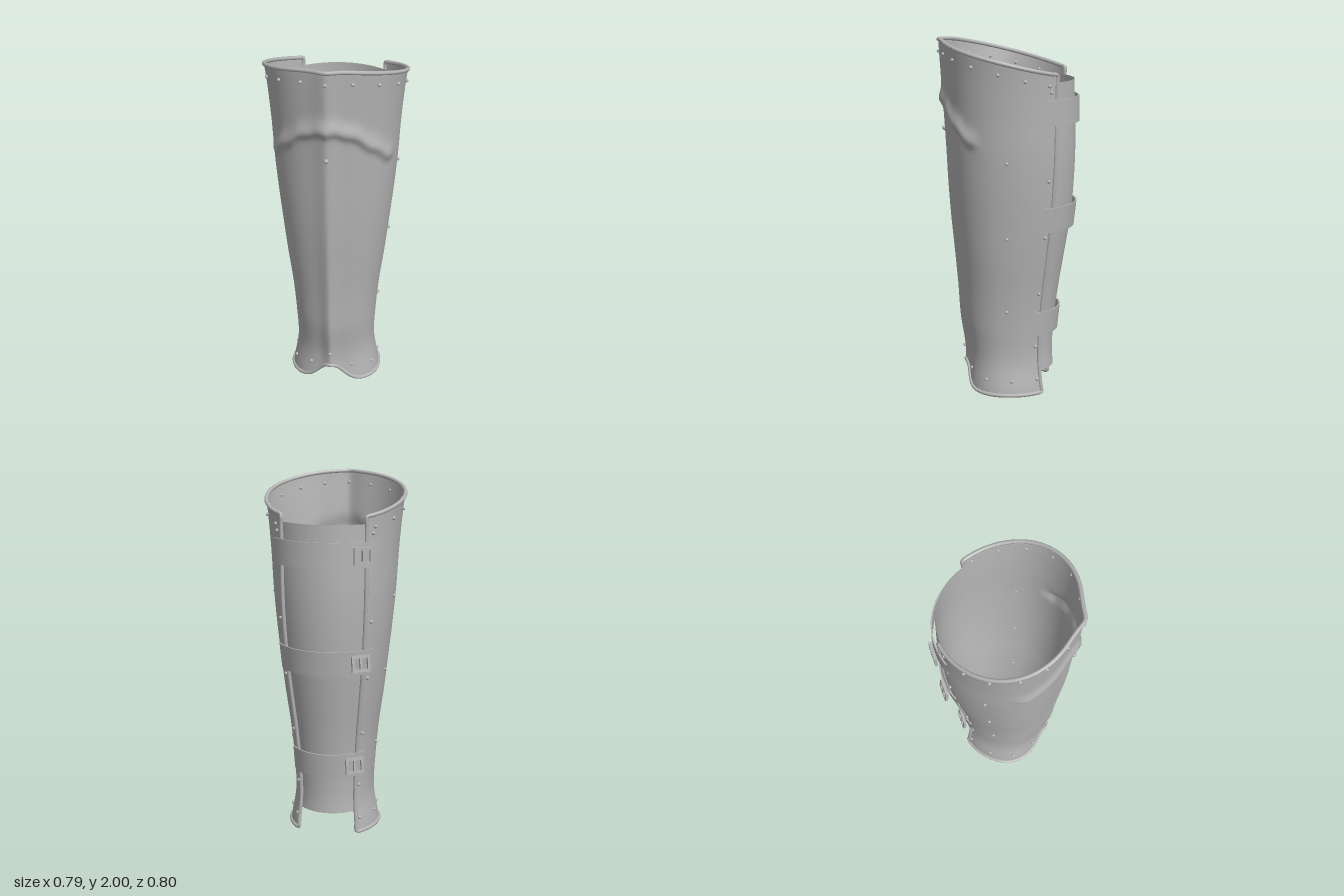
import * as THREE from 'three';
import { toCreasedNormals } from 'three/addons/utils/BufferGeometryUtils.js';

const DEG = Math.PI / 180;
const GAP = 142 * DEG; // shell runs from -GAP to +GAP around the front

// Radius profiles at every 0.2 of height, for the front, sides and back
const profile = (radii) => {
  const curve = new THREE.SplineCurve(radii.map((r, i) => new THREE.Vector2(r, i * 0.2)));
  return (y) => curve.getPoint(THREE.MathUtils.clamp(y / 2, 0, 1)).x;
};
const frontR = profile([0.222, 0.215, 0.243, 0.257, 0.275, 0.294, 0.308, 0.318, 0.33, 0.344, 0.355]);
const sideR = profile([0.256, 0.225, 0.232, 0.25, 0.277, 0.3, 0.322, 0.34, 0.352, 0.37, 0.393]);
const backR = profile([0.288, 0.272, 0.28, 0.305, 0.337, 0.368, 0.385, 0.392, 0.388, 0.382, 0.385]);

// Plain leg shape
function legRadius(t, y) {
  const c = Math.cos(t), s = sideR(y);
  return s + ((c > 0 ? frontR(y) : backR(y)) - s) * c * c;
}

// Leg shape plus shin ridge and the embossed knee fold
function shellRadius(t, y) {
  const a = Math.abs(t);
  const ridge = 0.03 * Math.exp(-Math.pow(a / 0.17, 1.6));
  const foldY = 1.655 - 0.21 * THREE.MathUtils.smoothstep(a, 0.1, 1.35) + 0.006 * Math.sin(a * 17);
  const d = y - foldY;
  const fade = 1 - THREE.MathUtils.smoothstep(a, 1.0, 1.32);
  const fold = 0.022 * fade * Math.exp(-Math.pow(d / (d > 0 ? 0.055 : 0.03), 2));
  return legRadius(t, y) + ridge + fold;
}

const topY = (t) => 1.895 + 0.243 * 0.385 * Math.cos(t);
const bottomY = (t) => 0.012 + 0.125 * Math.exp(-Math.pow(t / 0.47, 2));
const polar = (t, y, r) => new THREE.Vector3(r * Math.sin(t), y, r * Math.cos(t));
const onShell = (t, y, off = 0) => polar(t, y, shellRadius(t, y) + off);

// Grid surface from a point function of u and v in 0..1
function grid(nu, nv, fn) {
  const pos = [], index = [];
  for (let j = 0; j <= nv; j++)
    for (let i = 0; i <= nu; i++) pos.push(...fn(i / nu, j / nv).toArray());
  for (let j = 0; j < nv; j++)
    for (let i = 0; i < nu; i++) {
      const a = j * (nu + 1) + i, b = a + 1, c = a + nu + 1, d = c + 1;
      index.push(a, b, d, a, d, c);
    }
  const g = new THREE.BufferGeometry();
  g.setAttribute('position', new THREE.Float32BufferAttribute(pos, 3));
  g.setIndex(index);
  g.computeVertexNormals();
  return g;
}

export function createModel() {
  const model = new THREE.Group();
  model.name = 'legArmour';
  const steel = new THREE.MeshStandardMaterial({ color: 0xb4b4b4, side: THREE.DoubleSide });
  steel.name = 'steelGrey';
  const add = (name, geometry, parent = model) => {
    const m = new THREE.Mesh(geometry, steel);
    m.name = name;
    parent.add(m);
    return m;
  };
  const lerp = THREE.MathUtils.lerp;

  // Main plate, open at the back
  add('shell', grid(180, 130, (u, v) => {
    const t = lerp(-GAP, GAP, u);
    return onShell(t, lerp(bottomY(t), topY(t), v));
  }));

  // Back panel tucked inside the plate edges
  add('backPanel', grid(48, 40, (u, v) => {
    const t = lerp(126 * DEG, 234 * DEG, u), y = lerp(0.13, 1.78, v);
    return polar(t, y, legRadius(t, y) - 0.012);
  }));

  // Rolled rim round the whole border
  const border = [];
  for (let i = 0; i <= 80; i++) {
    const t = lerp(-GAP, GAP, i / 80);
    border.push(onShell(t, topY(t)));
  }
  for (let i = 1; i < 30; i++) border.push(onShell(GAP, lerp(topY(GAP), bottomY(GAP), i / 30)));
  for (let i = 0; i <= 80; i++) {
    const t = lerp(GAP, -GAP, i / 80);
    border.push(onShell(t, bottomY(t)));
  }
  for (let i = 1; i < 30; i++) border.push(onShell(-GAP, lerp(bottomY(GAP), topY(GAP), i / 30)));
  add('rolledRim', new THREE.TubeGeometry(new THREE.CatmullRomCurve3(border, true), 500, 0.011, 8, true));

  // Three straps across the back, each with a buckle
  const section = [[0.005, -0.07], [0.013, -0.07], [0.013, 0.07], [0.005, 0.07], [0.005, -0.07]];
  const frame = new THREE.Shape();
  frame.moveTo(-0.052, -0.046).lineTo(0.052, -0.046).lineTo(0.052, 0.046).lineTo(-0.052, 0.046).closePath();
  for (const s of [-1, 1]) {
    const x0 = s * 0.006, x1 = s * 0.038;
    const hole = new THREE.Path();
    hole.moveTo(x0, -0.031).lineTo(x1, -0.031).lineTo(x1, 0.031).lineTo(x0, 0.031).closePath();
    frame.holes.push(hole);
  }
  const buckleGeo = new THREE.ExtrudeGeometry(frame, { depth: 0.016, bevelEnabled: false });
  for (const y of [1.62, 1.03, 0.42]) {
    const strap = grid(40, 4, (u, v) => {
      const t = lerp(131 * DEG, 229 * DEG, u);
      const [off, dy] = section[Math.round(v * 4)];
      return polar(t, y + dy, legRadius(t, y + dy) + off);
    });
    add('strap', toCreasedNormals(strap, 0.6));
    const t = -147 * DEG;
    const buckle = add('buckle', buckleGeo);
    buckle.position.copy(polar(t, y, legRadius(t, y) + 0.02));
    const slope = Math.atan2(legRadius(t, y + 0.05) - legRadius(t, y - 0.05), 0.1);
    buckle.rotation.set(-slope, t, 0, 'YXZ');
  }

  // Rivets
  const rivets = new THREE.Group();
  rivets.name = 'rivets';
  model.add(rivets);
  const rivetGeo = new THREE.SphereGeometry(0.01, 12, 8);
  const rivet = (deg, yOf, scale = 1) => {
    for (const s of deg === 0 ? [1] : [-1, 1]) {
      const t = s * deg * DEG;
      const m = add('rivet', rivetGeo, rivets);
      m.position.copy(onShell(t, yOf(t), 0.003));
      m.scale.setScalar(scale);
    }
  };
  for (const deg of [0, 22, 45, 67, 90, 112, 134]) rivet(deg, (t) => topY(t) - 0.065);
  for (const deg of [0, 32, 68, 103, 137]) rivet(deg, (t) => bottomY(t) + 0.08);
  for (const y of [1.355, 0.93, 0.5]) rivet(97, () => y);
  for (const y of [1.73, 1.565, 1.25, 0.93, 0.6, 0.285]) rivet(136, () => y);
  rivet(0, () => 1.495, 1.3);

  return model;
}
